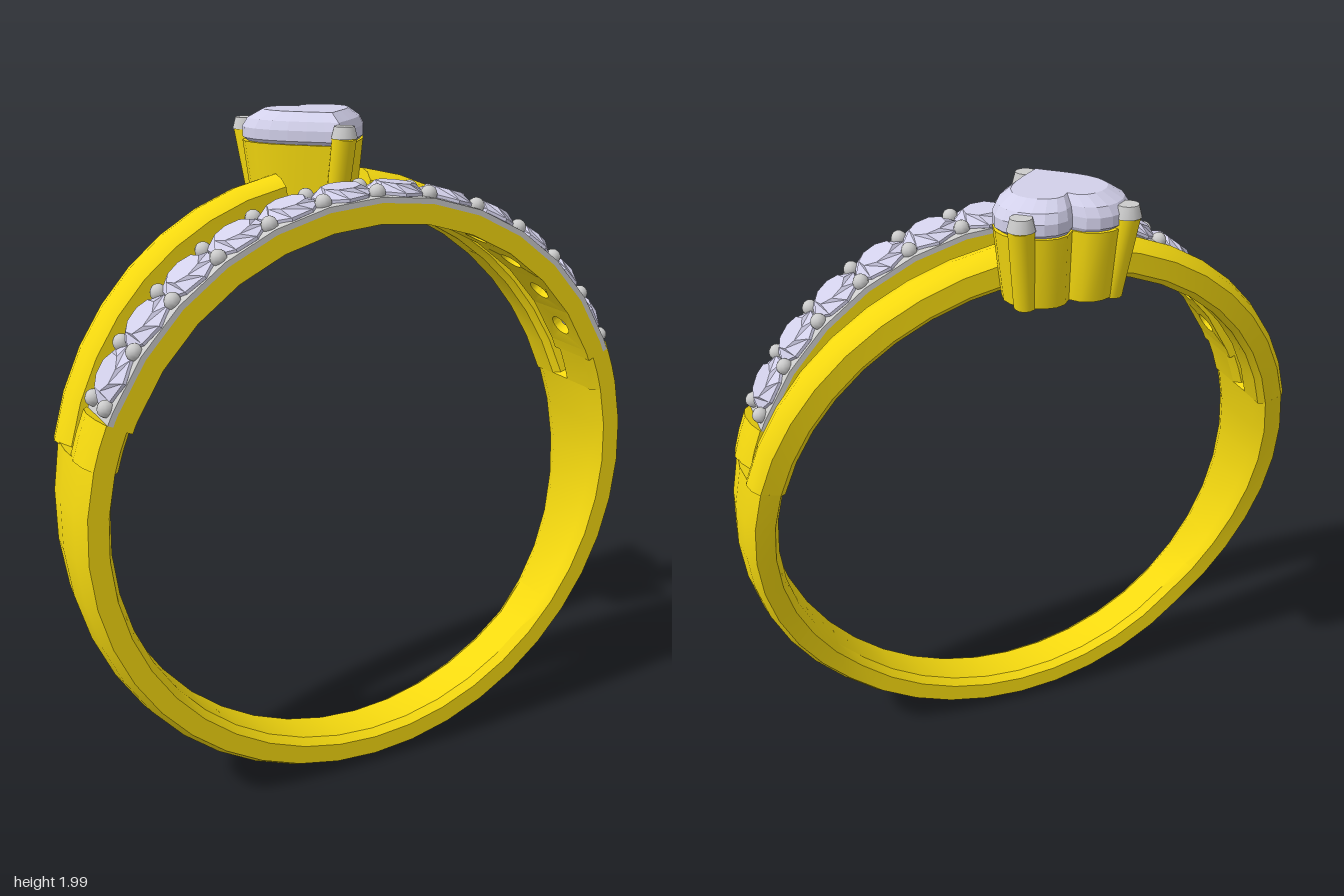
import * as THREE from 'three';
import { mergeGeometries, toCreasedNormals } from 'three/addons/utils/BufferGeometryUtils.js';

const CY = 0.922;                 // centre height of the ring
const FRONT = 0.31, MID = 0.135;  // z limits of the stone-set band
const STEP = 10.7;                // degrees between paved stones
const rad = THREE.MathUtils.degToRad;

const gold = new THREE.MeshStandardMaterial({ color: 0xf5d90f });
const gemMat = new THREE.MeshStandardMaterial({ color: 0xd2d0ea, flatShading: true });
const metal = new THREE.MeshStandardMaterial({ color: 0xcccccc });

// Point on the ring: angle in degrees from the top towards +x
const polar = (deg, r, z) =>
  new THREE.Vector3(r * Math.sin(rad(deg)), CY + r * Math.cos(rad(deg)), z);

// Skin closed rings of points; capped at the ends, or looped back to the start
function loft(rings, { loop = false, crease = 0.6 } = {}) {
  const centre = (ring) => {
    const c = ring.reduce((s, p) => s.add(p), new THREE.Vector3()).divideScalar(ring.length);
    return ring.map(() => c);
  };
  const all = loop
    ? [...rings, rings[0]]
    : [centre(rings[0]), ...rings, centre(rings[rings.length - 1])];
  const n = all[0].length, last = all.length - 2, index = [];
  const flat = all.flat();
  for (let i = 0; i <= last; i++) {
    for (let j = 0; j < n; j++) {
      const a = i * n + j, b = i * n + (j + 1) % n, c = a + n, d = b + n;
      if (loop || i > 0) index.push(a, b, d);
      if (loop || i < last) index.push(a, d, c);
    }
  }
  // Turn the faces outwards if the enclosed volume is negative
  let volume = 0;
  for (let k = 0; k < index.length; k += 3) {
    const [p, q, r] = [flat[index[k]], flat[index[k + 1]], flat[index[k + 2]]];
    volume += p.dot(new THREE.Vector3().crossVectors(q, r));
  }
  if (volume < 0) index.reverse();
  const g = new THREE.BufferGeometry().setFromPoints(flat);
  g.setIndex(index);
  return toCreasedNormals(g, crease);
}

// Sweep a section, a list of [radius, z], along the ring
function arc(from, to, section) {
  const steps = 2 * Math.max(1, Math.round(Math.abs(to - from) / 18));
  return loft(Array.from({ length: steps + 1 }, (_, i) => {
    const deg = from + (to - from) * i / steps;
    return section(deg).map(([r, z]) => polar(deg, r, z));
  }));
}

// Crowned band section between two z limits
function crowned(z0, z1) {
  const at = (t) => z0 + (z1 - z0) * t;
  return [[0.826, z0], [0.885, z0], [0.906, at(0.2)], [0.915, at(0.5)], [0.906, at(0.8)],
    [0.885, z1], [0.826, z1], [0.808, at(0.85)], [0.808, at(0.15)]];
}

// Rear edge of the ring by height: widens upwards and leans back
function rearEdge(deg) {
  const y = CY + 0.9 * Math.cos(rad(deg));
  const table = [[0, 0.145], [0.28, 0.142], [0.55, 0.1], [0.8, 0.05], [1.16, -0.022], [1.83, -0.145]];
  let k = 0;
  while (k < table.length - 2 && y > table[k + 1][0]) k++;
  const [[ya, za], [yb, zb]] = [table[k], table[k + 1]];
  return za + (zb - za) * (y - ya) / (yb - ya);
}

// One pierced plate of the paved band, bent around the ring
function piercedPlate(deg, r0, r1, hole) {
  const R = 0.87, w = R * rad(STEP) / 2, h = (FRONT - MID) / 2;
  const shape = new THREE.Shape([[-w, -h], [w, -h], [w, h], [-w, h]].map((p) => new THREE.Vector2(...p)));
  shape.holes.push(new THREE.Path().absarc(0, 0, hole, 0, Math.PI * 2, true));
  const g = new THREE.ExtrudeGeometry(shape, { depth: r1 - r0, bevelEnabled: false, curveSegments: 12 });
  const p = g.attributes.position;
  for (let i = 0; i < p.count; i++) {
    const v = polar(deg + THREE.MathUtils.radToDeg(p.getX(i) / R), r0 + p.getZ(i), (FRONT + MID) / 2 - p.getY(i));
    p.setXYZ(i, v.x, v.y, v.z);
  }
  return toCreasedNormals(g, 0.6);
}

// Heart outline in plan, scaled about its middle, at height y
function heart(scale, y) {
  const V = (x, z) => new THREE.Vector2(x, z);
  const side = [
    ...new THREE.CubicBezierCurve(V(0, 0.06), V(0.06, 0), V(0.19, -0.09), V(0.19, -0.19)).getPoints(6),
    ...new THREE.CubicBezierCurve(V(0.19, -0.19), V(0.19, -0.28), V(0.05, -0.36), V(0, -0.26)).getPoints(7).slice(1),
  ];
  const other = side.slice(1, -1).reverse().map((p) => V(-p.x, p.y));
  return [...side, ...other].map((p) => new THREE.Vector3(p.x * scale, y, -0.13 + (p.y + 0.13) * scale));
}

// Octagonal ring of a round stone
const octagon = (r, y, turn) => Array.from({ length: 8 }, (_, i) => {
  const a = (i + turn) * Math.PI / 4;
  return new THREE.Vector3(r * Math.cos(a), y, r * Math.sin(a));
});

export function createModel() {
  const model = new THREE.Group();
  const add = (name, geometry, material, parent = model) => {
    const mesh = new THREE.Mesh(geometry, material);
    mesh.name = name;
    parent.add(mesh);
    return mesh;
  };

  // Shank around the bottom, then the split into shoulders and rear branches
  const SPLIT = 74.7, BED_END = 66.5, paved = 6 * STEP;
  add('shank', arc(SPLIT, 360 - SPLIT, (d) => crowned(rearEdge(d), FRONT)), gold);
  for (const s of [1, -1]) {
    const side = s > 0 ? 'left' : 'right';
    add(side + 'Shoulder', arc(s * BED_END, s * (SPLIT + 0.3), () => crowned(MID, FRONT)), gold);
    add(side + 'RearBranch', arc(s * (SPLIT + 0.3), s * 9, (d) => {
      const z = rearEdge(d);
      return crowned(z, z + 0.125);
    }), gold);
    const plain = (r0, r1) => arc(s * paved, s * (BED_END + 0.3), () => [[r0, MID], [r1, MID], [r1, FRONT], [r0, FRONT]]);
    add(side + 'BandEnd', plain(0.808, 0.866), gold);
    add(side + 'BedEnd', plain(0.866, 0.882), metal);
  }

  // Pierced front band and the setting bed on top of it
  const angles = Array.from({ length: 12 }, (_, i) => (i - 5.5) * STEP);
  add('frontBand', mergeGeometries(angles.map((a) => piercedPlate(a, 0.808, 0.866, 0.036))), gold);
  add('stoneBed', mergeGeometries(angles.map((a) => piercedPlate(a, 0.866, 0.882, 0.065))), metal);

  // Paved stones
  const stone = loft([octagon(0.01, -0.06, 0), octagon(0.086, -0.002, 0), octagon(0.086, 0.007, 0),
    octagon(0.056, 0.029, 0.5)], { crease: 0.01 });
  const stones = new THREE.Group();
  stones.name = 'pavedStones';
  model.add(stones);
  angles.forEach((a, i) => {
    const holder = new THREE.Group();
    holder.position.copy(polar(a, 0.882, (FRONT + MID) / 2));
    holder.rotation.z = -rad(a);
    add('pavedStone', stone, gemMat, holder).rotation.y = i * 0.9;
    stones.add(holder);
  });

  // Pairs of beads between the stones
  const bead = new THREE.SphereGeometry(0.024, 10, 8);
  for (let i = -6; i <= 6; i++) {
    for (const z of [0.168, 0.275]) add('bead', bead, metal).position.copy(polar(i * STEP, 0.89, z));
  }

  // Hollow tapered heart setting
  add('heartSetting', loft([heart(0.87, 1.71), heart(1, 1.91), heart(0.86, 1.91), heart(0.7, 1.71)],
    { loop: true, crease: 0.7 }), gold);

  // Heart stone: pavilion, girdle, crown, table
  add('heartStone', loft([heart(0.08, 1.77), heart(0.55, 1.85), heart(1, 1.92), heart(1, 1.95),
    heart(0.92, 1.975), heart(0.7, 2)], { crease: 0.01 }), gemMat);

  // Three prongs with metal tips
  const up = new THREE.Vector3(0, 1, 0);
  for (const [x0, z0, x1, z1] of [[0, 0.025, 0, 0.08], [0.125, -0.24, 0.15, -0.278], [-0.125, -0.24, -0.15, -0.278]]) {
    const a = new THREE.Vector3(x0, 1.71, z0), b = new THREE.Vector3(x1, 1.94, z1);
    const prong = add('prong', new THREE.CylinderGeometry(0.036, 0.032, a.distanceTo(b), 14), gold);
    prong.position.lerpVectors(a, b, 0.5);
    prong.quaternion.setFromUnitVectors(up, b.clone().sub(a).normalize());
    const tip = toCreasedNormals(new THREE.CylinderGeometry(0.03, 0.039, 0.034, 14), 0.5);
    add('prongTip', tip, metal).position.set(x1, 1.953, z1);
  }
  return model;
}
